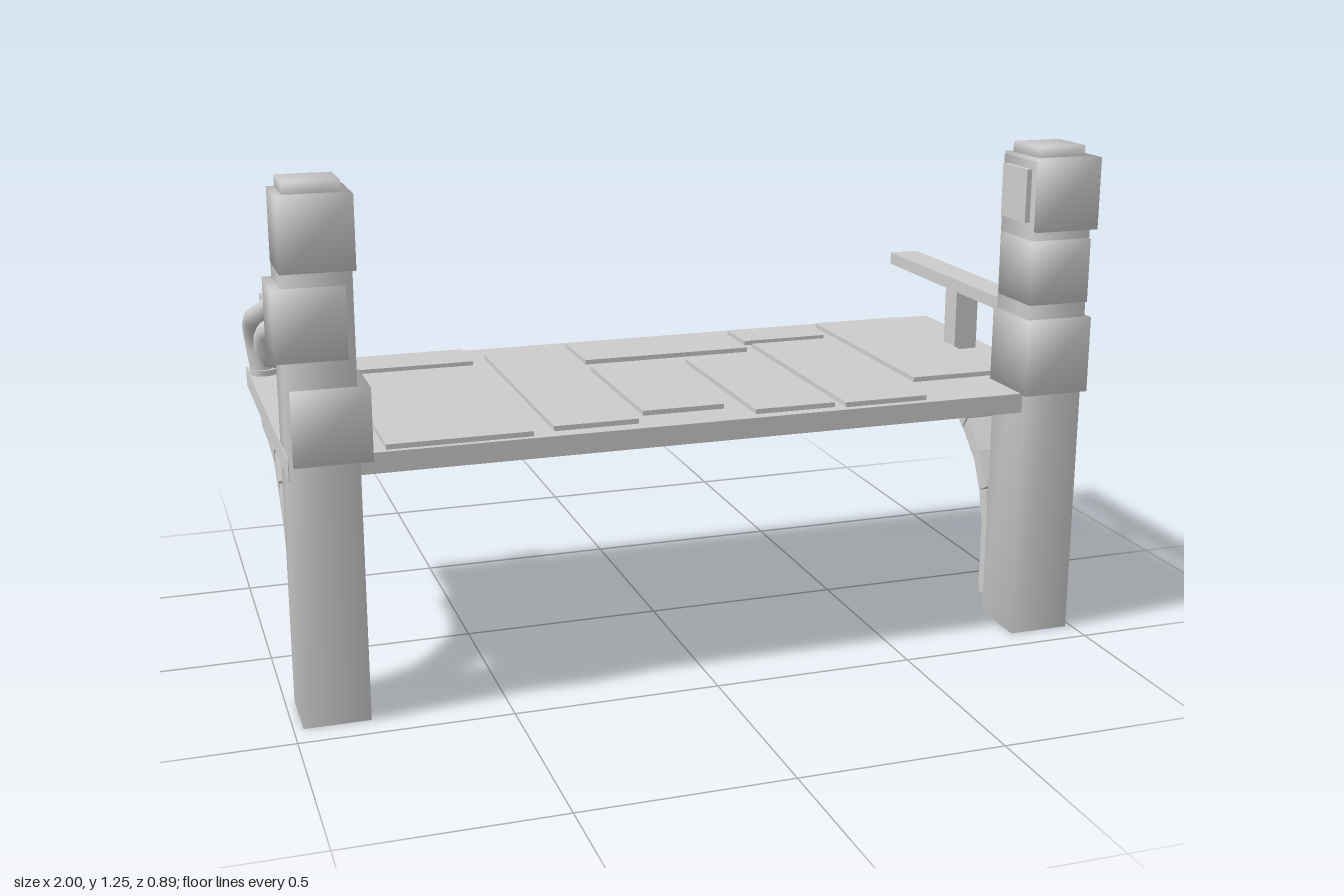
import * as THREE from 'three';
import { mergeVertices } from 'three/addons/utils/BufferGeometryUtils.js';

const material = new THREE.MeshStandardMaterial({ color: 0xcccccc });

export function createModel() {
  const model = new THREE.Group();

  const add = (name, geometry) => {
    const mesh = new THREE.Mesh(geometry, material);
    mesh.name = name;
    model.add(mesh);
    return mesh;
  };

  // Box from min/max extents; soft boxes share normals across their edges
  const box = (name, [x0, x1], [y0, y1], [z0, z1], soft = false) => {
    let g = new THREE.BoxGeometry(x1 - x0, y1 - y0, z1 - z0);
    if (soft) {
      g.deleteAttribute('normal');
      g.deleteAttribute('uv');
      g = mergeVertices(g);
      g.computeVertexNormals();
    }
    g.translate((x0 + x1) / 2, (y0 + y1) / 2, (z0 + z1) / 2);
    return add(name, g);
  };

  // Deck slab and the raised planks on it
  box('deck', [-0.98, 0.99], [0.588, 0.637], [-0.445, 0.42]);
  const planks = [
    [-0.76, -0.42, -0.235, 0.405], [-0.755, -0.41, -0.415, -0.275],
    [-0.365, -0.16, -0.335, 0.38], [-0.125, 0.33, -0.395, -0.195],
    [-0.13, 0.075, -0.13, 0.32], [0.13, 0.335, -0.125, 0.39],
    [0.35, 0.585, -0.4, -0.265], [0.36, 0.575, -0.23, 0.4],
    [0.62, 0.87, -0.405, 0.235],
  ];
  for (const [x0, x1, z0, z1] of planks) box('plank', [x0, x1], [0.62, 0.649], [z0, z1]);

  // Posts with caps
  for (const x of [-0.9, 0.906]) {
    box('post', [x - 0.078, x + 0.078], [0, 1.215], [0.271, 0.43], true);
    box('postCap', [x - 0.063, x + 0.063], [1.2, 1.248], [0.287, 0.412], true);
  }

  // Stone blocks wrapped around the posts
  const blocks = [
    [[-0.98, -0.815], [1.055, 1.222], [0.28, 0.442]],
    [[-1, -0.84], [0.86, 1.022], [0.28, 0.444]],
    [[-0.97, -0.795], [0.625, 0.795], [0.28, 0.447]],
    [[0.83, 0.997], [1.045, 1.222], [0.27, 0.444]],
    [[0.822, 0.98], [0.865, 1.022], [0.285, 0.444]],
    [[0.823, 0.995], [0.635, 0.825], [0.262, 0.443]],
  ];
  for (const b of blocks) box('stoneBlock', ...b, true);
  // Thin facing stones on the left post's top block
  box('facingStoneBack', [0.85, 0.965], [1.06, 1.19], [0.256, 0.3]);
  box('facingStoneInner', [0.815, 0.85], [1.065, 1.195], [0.29, 0.41]);

  // Side rails and their supports
  for (const x of [-0.895, 0.91]) {
    box('rail', [x - 0.041, x + 0.041], [0.8, 0.833], [-0.445, 0.28]);
    box('railSupport', [x - 0.032, x + 0.032], [0.63, 0.805], [-0.11, -0.045]);
  }

  // Curved brackets of separate stones, outlined as [z, y] and extruded along x
  const stones = [
    [[0.275, 0.043], [0.23, 0.043], [0.23, 0.228], [0.275, 0.228]],
    [[0.271, 0.235], [0.232, 0.225], [0.209, 0.318], [0.245, 0.328]],
    [[0.245, 0.338], [0.209, 0.318], [0.175, 0.39], [0.103, 0.46], [0.129, 0.493], [0.195, 0.424]],
    [[0.123, 0.497], [0.099, 0.46], [0.036, 0.517], [0.063, 0.55]],
    [[0.043, 0.553], [0.033, 0.517], [-0.083, 0.54], [-0.083, 0.58], [-0.01, 0.57]],
    [[-0.09, 0.583], [-0.09, 0.54], [-0.215, 0.54], [-0.215, 0.583]],
  ];
  const width = 0.14;
  for (const x of [-0.9, 0.906]) {
    for (const outline of stones) {
      const shape = new THREE.Shape(outline.map(([z, y]) => new THREE.Vector2(-z, y)));
      const g = new THREE.ExtrudeGeometry(shape, { depth: width, bevelEnabled: false });
      g.rotateY(Math.PI / 2).translate(x - width / 2, 0, 0);
      add('bracketStone', g);
    }
  }

  // Vine winding from the right post around the rail down to the deck
  const path = new THREE.CatmullRomCurve3([
    [-0.9, 0.877, 0.28], [-0.9, 0.872, 0.17], [-0.93, 0.86, 0.1], [-0.97, 0.835, 0.03],
    [-0.965, 0.775, 0], [-0.9, 0.768, 0.012], [-0.825, 0.775, 0], [-0.805, 0.82, -0.01],
    [-0.83, 0.868, -0.04], [-0.87, 0.872, -0.12], [-0.9, 0.868, -0.19], [-0.95, 0.82, -0.26],
    [-0.965, 0.785, -0.335], [-0.96, 0.735, -0.368], [-0.945, 0.63, -0.365],
  ].map((p) => new THREE.Vector3(...p)));
  add('vine', new THREE.TubeGeometry(path, 42, 0.028, 10));
  const collar = new THREE.CylinderGeometry(0.036, 0.036, 0.03, 12);
  add('vineCollar', collar.clone().rotateX(Math.PI / 2)).position.set(-0.9, 0.877, 0.26);
  add('vineFoot', collar).position.set(-0.943, 0.637, -0.367);

  return model;
}
